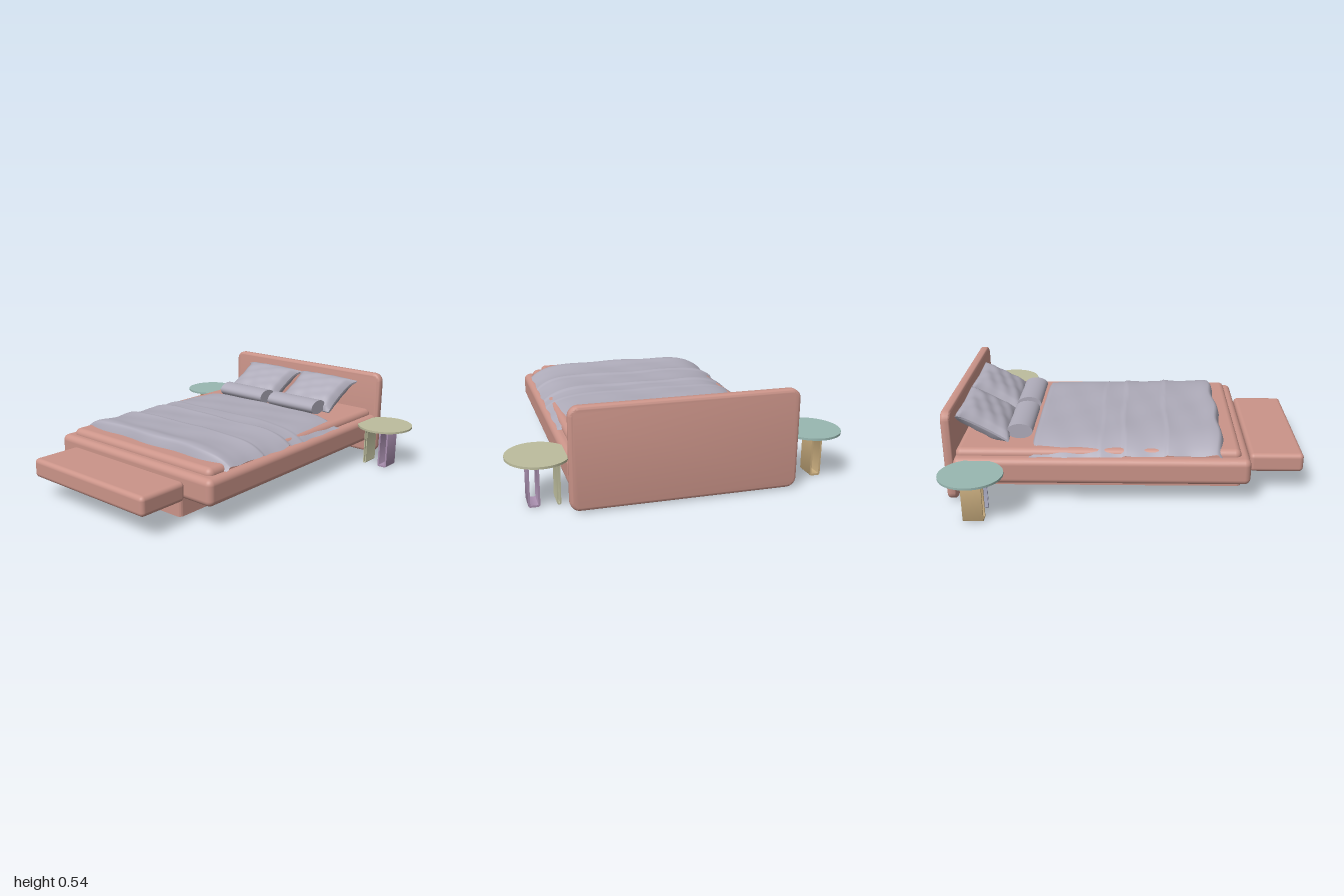
import * as THREE from 'three';
import { RoundedBoxGeometry } from 'three/addons/geometries/RoundedBoxGeometry.js';
import { toCreasedNormals } from 'three/addons/utils/BufferGeometryUtils.js';

const material = (name, color, side = THREE.FrontSide) => {
  const m = new THREE.MeshStandardMaterial({ color, side });
  m.name = name;
  return m;
};

// Rounded rectangle drawn about a centre, usable as outline or hole
function roundedRect(Type, w, h, r, cx = 0, cy = 0) {
  const s = new Type(), x = w / 2 - r, y = h / 2 - r;
  s.absarc(cx + x, cy + y, r, 0, Math.PI / 2);
  s.absarc(cx - x, cy + y, r, Math.PI / 2, Math.PI);
  s.absarc(cx - x, cy - y, r, Math.PI, Math.PI * 1.5);
  s.absarc(cx + x, cy - y, r, Math.PI * 1.5, Math.PI * 2);
  s.closePath();
  return s;
}

// Hollow rounded rectangular tube extruded along z, centred
function rectTube(w, h, depth, wall, r) {
  const shape = roundedRect(THREE.Shape, w, h, r);
  shape.holes.push(roundedRect(THREE.Path, w - 2 * wall, h - 2 * wall, Math.max(r - wall, 0.002)));
  const g = new THREE.ExtrudeGeometry(shape, { depth, bevelEnabled: false, curveSegments: 6 });
  g.translate(0, 0, -depth / 2);
  return toCreasedNormals(g, 0.6);
}

// Draped blanket with cross folds and gentle wrinkles
function duvetGeometry() {
  const g = new THREE.PlaneGeometry(2, 2, 60, 100).rotateX(-Math.PI / 2);
  const p = g.attributes.position;
  for (let i = 0; i < p.count; i++) {
    const u = p.getX(i), v = p.getZ(i);
    const x = 0.01 + 0.57 * u + 0.004 * Math.sin(v * 17) * u;
    const z = 0.005 + 0.54 * v + (v > 0 ? v * (0.008 * Math.cos(u * 9) - 0.015 * u * u) : 0);
    let y = 0.345 + 0.009 * v;
    for (const [fold, height] of [[-0.14, 0.004], [-0.015, 0.009], [0.225, 0.008]]) {
      const d = z - fold - 0.006 * Math.sin(u * 5 + fold * 20);
      y += d > 0 ? height * Math.exp(-d / 0.05) : height * Math.exp(-((d / 0.008) ** 2));
    }
    y += 0.003 * Math.sin(x * 13 + z * 9) * Math.sin(z * 21 - x * 5);
    y += 0.009 * Math.exp(-(((z - 0.49) / 0.05) ** 2));
    y -= 0.07 * Math.abs(u) ** 7;
    y -= 0.05 * Math.max(0, (Math.abs(v) - 0.94) / 0.06) ** 3;
    p.setXYZ(i, x, Math.max(y, 0.272), z);
  }
  g.computeVertexNormals();
  return g;
}

// Plump pillow with pinched sides and pointed upper corners
function pillowGeometry() {
  const g = new THREE.BoxGeometry(2, 2, 2, 22, 1, 22);
  const p = g.attributes.position;
  for (let i = 0; i < p.count; i++) {
    const u = p.getX(i), s = p.getY(i), v = p.getZ(i);
    const puff = Math.sqrt(Math.max(0, (1 - u ** 4) * (1 - v ** 4)));
    const ear = v < 0 ? 0.035 * Math.abs(u) ** 5 * v ** 8 : 0;
    const x = 0.203 * u * (1 - 0.07 * (1 - v * v)) + Math.sign(u) * ear;
    const z = 0.165 * v * (1 - 0.05 * (1 - u * u));
    const crease = 0.005 * Math.sin(u * 8 + v * 4) * Math.sin(v * 7 - u * 2) * puff;
    p.setXYZ(i, x, s * (0.006 + 0.058 * puff) + crease, z);
  }
  g.computeVertexNormals();
  return g;
}

export function createModel() {
  const root = new THREE.Group();
  root.name = 'bedSet';

  const upholstery = material('pink upholstery', 0xcb9489);
  const linen = material('grey linen', 0xaeabb9, THREE.DoubleSide);
  const teal = material('teal', 0x98b7b1);
  const olive = material('pale olive', 0xbdbd9d);
  const purple = material('mauve', 0xaa90b0);
  const tan = material('tan', 0xc6aa7c);
  const lavender = material('lavender grey', 0xabacc2);

  const add = (name, geometry, mat, x, y, z, parent = root) => {
    const mesh = new THREE.Mesh(geometry, mat);
    mesh.name = name;
    mesh.position.set(x, y, z);
    parent.add(mesh);
    return mesh;
  };

  // Upholstered body
  add('bedFrame', new RoundedBoxGeometry(1.2, 0.15, 1.64, 5, 0.035), upholstery, 0.005, 0.195, -0.137);
  add('mattress', new RoundedBoxGeometry(1.1, 0.12, 1.58, 5, 0.035), upholstery, 0.008, 0.247, -0.157);
  add('bench', new RoundedBoxGeometry(0.88, 0.11, 0.305, 5, 0.025), upholstery, 0.005, 0.18, 0.8475);

  // Open-bottomed plinth
  const plinth = rectTube(0.74, 1.62, 0.125, 0.014, 0.025);
  plinth.rotateX(-Math.PI / 2);
  add('plinth', plinth, upholstery, 0, 0.0635, -0.15);

  // Headboard with softened front edge
  const board = new THREE.ExtrudeGeometry(roundedRect(THREE.Shape, 1.155, 0.495, 0.035), {
    depth: 0.022, bevelThickness: 0.016, bevelSize: 0.018, bevelSegments: 5, curveSegments: 8,
  });
  add('headboard', toCreasedNormals(board, 0.7), upholstery, 0.01, 0.274, -0.983);

  // Bedding
  add('duvet', duvetGeometry(), linen, 0, 0, 0);
  const pillow = pillowGeometry();
  const bolster = new THREE.CylinderGeometry(1, 1, 0.35, 32);
  bolster.rotateZ(Math.PI / 2);
  bolster.scale(1, 0.044, 0.073);
  for (const [side, px, bx] of [['right', -0.236, -0.215], ['left', 0.21, 0.195]]) {
    add(side + 'Pillow', pillow, linen, px, 0.388, -0.808).rotation.x = 0.5;
    add(side + 'Bolster', bolster, linen, bx, 0.351, -0.606);
  }

  // Round side tables on folded loop legs
  const top = new THREE.CylinderGeometry(0.164, 0.164, 0.012, 48);
  const outerLeg = rectTube(0.06, 0.25, 0.11, 0.01, 0.012);
  const innerLeg = rectTube(0.02, 0.25, 0.11, 0.006, 0.008);
  const tables = [
    ['rightTable', -1, -0.735, teal, tan, lavender],
    ['leftTable', 1, 0.732, olive, purple, olive],
  ];
  for (const [name, s, x, topMat, outerMat, innerMat] of tables) {
    const table = new THREE.Group();
    table.name = name;
    root.add(table);
    add('tableTop', top, topMat, x, 0.254, -0.822, table).scale.z = 1.06;
    add('outerLeg', outerLeg, outerMat, s * 0.762, 0.125, -0.815, table);
    add('innerLeg', innerLeg, innerMat, s * 0.638, 0.125, -0.815, table);
  }

  return root;
}
